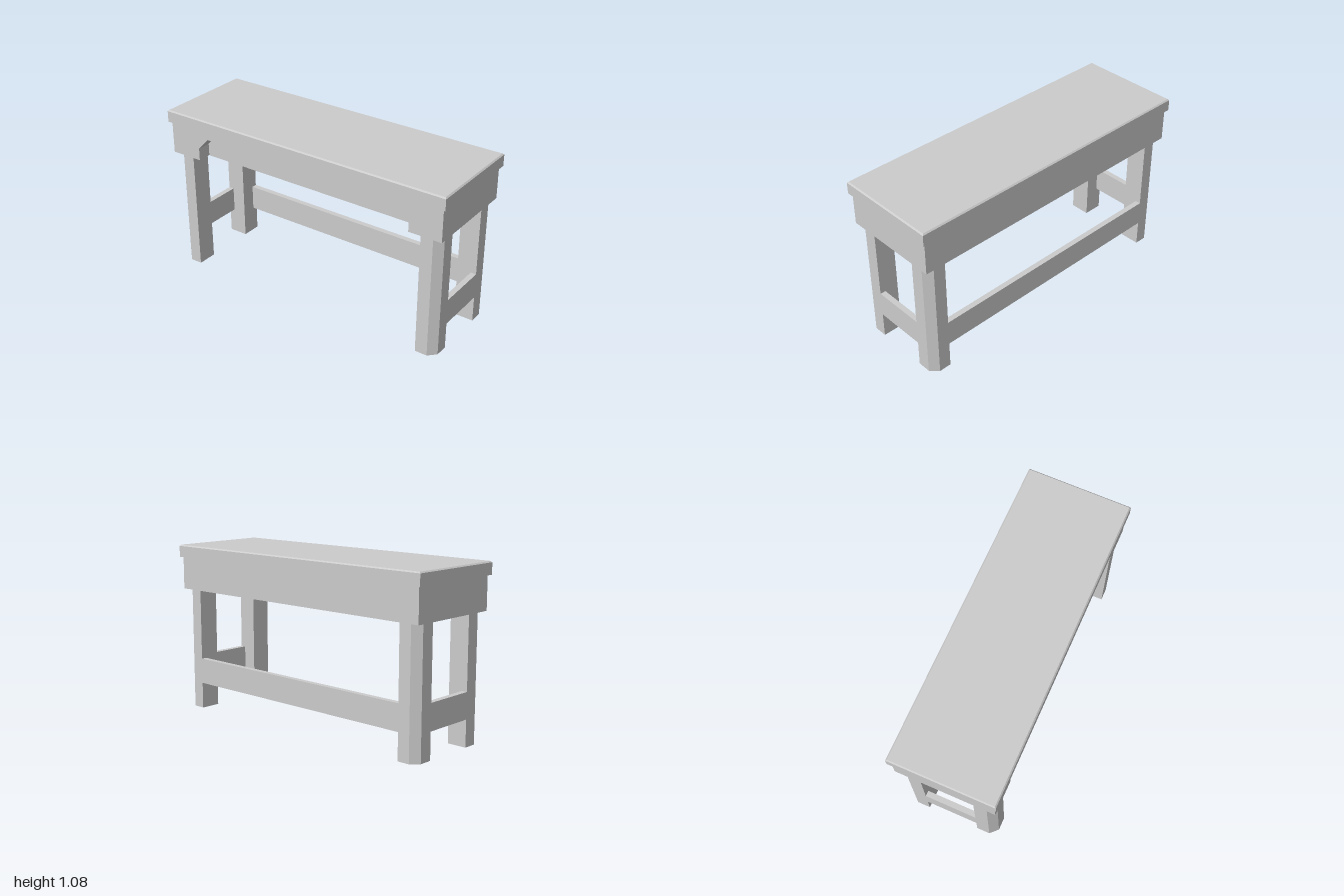
import * as THREE from 'three';

const material = new THREE.MeshStandardMaterial({ color: 0xcccccc, flatShading: true });

function addMesh(parent, name, geometry, x = 0, y = 0, z = 0) {
  const mesh = new THREE.Mesh(geometry, material);
  mesh.name = name;
  mesh.position.set(x, y, z);
  parent.add(mesh);
  return mesh;
}

// Box given by its min and max corners
function addBox(parent, name, [x0, y0, z0], [x1, y1, z1]) {
  return addMesh(parent, name, new THREE.BoxGeometry(x1 - x0, y1 - y0, z1 - z0),
    (x0 + x1) / 2, (y0 + y1) / 2, (z0 + z1) / 2);
}

function shapeOf(points) {
  return new THREE.Shape(points.map(([x, y]) => new THREE.Vector2(x, y)));
}

// Slab with a small chamfer around its upper edge
function slabGeometry(halfX, halfZ, y0, y1, chamfer) {
  const geo = new THREE.BoxGeometry(halfX * 2, 2, halfZ * 2, 1, 2, 1);
  const p = geo.attributes.position;
  for (let i = 0; i < p.count; i++) {
    const level = Math.round(p.getY(i));
    p.setY(i, [y0, y1 - chamfer, y1][level + 1]);
    if (level === 1) {
      p.setX(i, p.getX(i) - Math.sign(p.getX(i)) * chamfer);
      p.setZ(i, p.getZ(i) - Math.sign(p.getZ(i)) * chamfer);
    }
  }
  const flat = geo.toNonIndexed();
  flat.computeVertexNormals();
  return flat;
}

export function createModel() {
  const bench = new THREE.Group();
  bench.name = 'bench';

  const LEG_TOP = 0.793, APRON_TOP = 1.003;
  const legX = [0.838, 0.965], legZ = [0.168, 0.3], cut = 0.047;

  addMesh(bench, 'top', slabGeometry(1, 0.333, APRON_TOP, 1.083, 0.008));

  // Apron: solid body with a notched board in front
  const front = 0.317, recess = 0.09;
  addBox(bench, 'apronBody', [-0.982, LEG_TOP, -front], [0.982, APRON_TOP, front - recess]);
  const board = shapeOf([
    [-0.982, LEG_TOP], [-0.768, LEG_TOP], [-0.768, 0.873], [-0.69, 0.953],
    [0.69, 0.953], [0.768, 0.873], [0.768, LEG_TOP], [0.982, LEG_TOP],
    [0.982, APRON_TOP], [-0.982, APRON_TOP],
  ]);
  addMesh(bench, 'apronFront',
    new THREE.ExtrudeGeometry(board, { depth: recess, bevelEnabled: false }), 0, 0, front - recess);

  // Legs, chamfered on the outer corner
  for (const sx of [-1, 1]) {
    for (const sz of [-1, 1]) {
      const outline = shapeOf([
        [legX[0], legZ[0]], [legX[1], legZ[0]], [legX[1], legZ[1] - cut],
        [legX[1] - cut, legZ[1]], [legX[0], legZ[1]],
      ].map(([x, z]) => [x * sx, -z * sz]));
      const geo = new THREE.ExtrudeGeometry(outline, { depth: LEG_TOP, bevelEnabled: false });
      geo.rotateX(-Math.PI / 2);
      addMesh(bench, (sz > 0 ? 'front' : 'back') + (sx > 0 ? 'Left' : 'Right') + 'Leg', geo);
    }
  }

  // Stretchers, flush with the outer faces of the legs
  const low = 0.17, high = 0.335, thick = 0.036;
  addBox(bench, 'backStretcher', [-legX[0], low, -legZ[1]], [legX[0], high, -legZ[1] + thick]);
  addBox(bench, 'leftStretcher', [legX[1] - thick, low, -legZ[0]], [legX[1], high, legZ[0]]);
  addBox(bench, 'rightStretcher', [-legX[1], low, -legZ[0]], [-legX[1] + thick, high, legZ[0]]);

  return bench;
}
